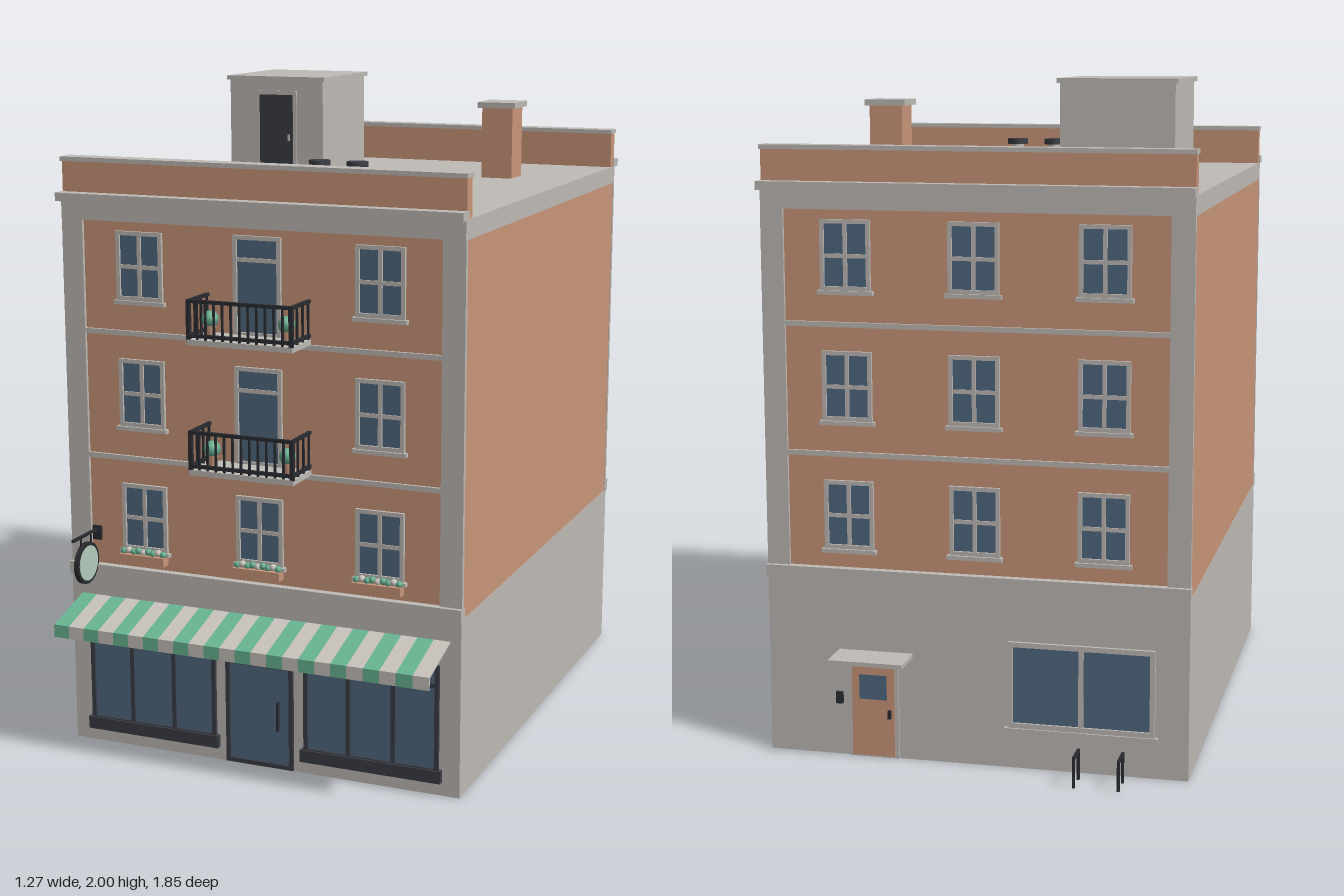
import * as THREE from 'three';

const mat = (name, color, side = THREE.FrontSide) => {
  const m = new THREE.MeshStandardMaterial({ color, side });
  m.name = name;
  return m;
};
const M = {
  stone: mat('stone', 0xbfbab5),
  brick: mat('brick', 0xc9967a),
  glass: mat('glass', 0x506880),
  dark: mat('dark frame', 0x3b3d45),
  iron: mat('iron', 0x292b30),
  green: mat('awning green', 0x68b492),
  cream: mat('awning cream', 0xc8c2bc),
  leaf: mat('leaf', 0x63ab8b),
  sign: mat('sign face', 0xb4cdbd),
};

function add(parent, name, geometry, material, x = 0, y = 0, z = 0) {
  const m = new THREE.Mesh(geometry, material);
  m.name = name;
  m.position.set(x, y, z);
  parent.add(m);
  return m;
}
// Box given by its limits on each axis
function box(parent, name, material, x0, x1, y0, y1, z0, z1) {
  return add(parent, name, new THREE.BoxGeometry(x1 - x0, y1 - y0, z1 - z0), material,
    (x0 + x1) / 2, (y0 + y1) / 2, (z0 + z1) / 2);
}
function group(parent, name, x = 0, y = 0, z = 0) {
  const g = new THREE.Group();
  g.name = name;
  g.position.set(x, y, z);
  parent.add(g);
  return g;
}

// Glazed panel: pane, border, vertical bars and horizontal bars
function glazing(parent, name, frame, x0, x1, y0, y1, z, t, xBars = [], yBars = []) {
  const g = group(parent, name);
  box(g, 'pane', M.glass, x0 + t / 2, x1 - t / 2, y0 + t / 2, y1 - t / 2, z - 0.004, z + 0.003);
  for (const x of [x0 + t / 2, x1 - t / 2]) box(g, 'jamb', frame, x - t / 2, x + t / 2, y0, y1, z, z + 0.01);
  for (const y of [y0 + t / 2, y1 - t / 2]) box(g, 'rail', frame, x0 + t, x1 - t, y - t / 2, y + t / 2, z, z + 0.01);
  for (const x of xBars) box(g, 'mullion', frame, x - t / 2, x + t / 2, y0 + t, y1 - t, z, z + 0.008);
  for (const y of yBars) box(g, 'transom', frame, x0 + t, x1 - t, y - t / 2, y + t / 2, z, z + 0.007);
  return g;
}
function sashWindow(parent, x, y) {
  const g = glazing(parent, 'window', M.stone, x - 0.075, x + 0.075, y, y + 0.205, 0.001, 0.012, [x], [y + 0.1]);
  box(g, 'sill', M.stone, x - 0.083, x + 0.083, y - 0.012, y, 0, 0.018);
}

// Trim shared by the front and back walls, wall plane at z = 0
function facade(parent, name) {
  const g = group(parent, name);
  for (const s of [-1, 1]) {
    const p = box(g, 'cornerPilaster', M.stone, -0.034, 0.034, 0.575, 1.63, -0.004, 0.01);
    p.position.x = s * 0.5995;
  }
  box(g, 'shopCornice', M.stone, -0.635, 0.635, 0.535, 0.575, -0.01, 0.024);
  for (const y of [0.908, 1.29]) box(g, 'stringCourse', M.stone, -0.566, 0.566, y, y + 0.015, -0.002, 0.009);
  box(g, 'roofCornice', M.stone, -0.635, 0.635, 1.685, 1.71, -0.01, 0.044);
  box(g, 'parapet', M.brick, -0.632, 0.632, 1.685, 1.802, -0.04, 0.002);
  box(g, 'parapetCap', M.stone, -0.635, 0.635, 1.8, 1.813, -0.049, 0.01);
  return g;
}

function balcony(parent, y) {
  const g = group(parent, 'balcony', 0, y, 0);
  glazing(g, 'balconyDoor', M.stone, -0.075, 0.075, 0.012, 0.305, 0.001, 0.012, [], [0.235]);
  box(g, 'balconySlab', M.stone, -0.165, 0.165, 0, 0.016, 0, 0.133);
  for (const yy of [0.022, 0.122]) {
    box(g, 'frontRail', M.iron, -0.165, 0.165, yy, yy + 0.01, 0.122, 0.132);
    for (const s of [-1, 1]) box(g, 'sideRail', M.iron, s * 0.16 - 0.005, s * 0.16 + 0.005, yy, yy + 0.01, 0, 0.122);
  }
  for (let i = 0; i <= 12; i++) {
    const x = -0.16 + i * 0.32 / 12, r = i % 12 ? 0.003 : 0.006;
    box(g, 'baluster', M.iron, x - r, x + r, 0.014, 0.128, 0.127 - r, 0.127 + r);
  }
  for (const s of [-1, 1]) {
    for (const z of [0.008, 0.047, 0.087])
      box(g, 'sideBaluster', M.iron, s * 0.16 - 0.003, s * 0.16 + 0.003, 0.016, 0.128, z - 0.003, z + 0.003);
    add(g, 'plantPot', new THREE.CylinderGeometry(0.018, 0.013, 0.035, 12), M.brick, s * 0.12, 0.033, 0.068);
    add(g, 'plant', new THREE.SphereGeometry(0.025, 12, 8), M.leaf, s * 0.12, 0.068, 0.068);
  }
}

function flowerBox(parent, x) {
  const g = group(parent, 'flowerBox', x, 0.595, 0);
  box(g, 'trough', M.brick, -0.075, 0.075, 0, 0.028, 0.004, 0.038);
  for (let i = 0; i < 9; i++)
    add(g, 'flower', new THREE.IcosahedronGeometry(0.011, 1), i % 3 === 1 ? M.cream : M.leaf,
      -0.066 + i * 0.0165, 0.034 + (i % 2) * 0.004, 0.021);
}

function awning(parent) {
  const g = group(parent, 'awning');
  const n = 24, w = 1.2 / n, drop = 0.05, reach = 0.175;
  for (let i = 0; i < n; i++) {
    const x = -0.6 + (i + 0.5) * w, m = i % 2 ? M.cream : M.green;
    const slope = add(g, 'awningStripe', new THREE.BoxGeometry(w, 0.005, Math.hypot(drop, reach)), m, x, 0.448, 0.098);
    slope.rotation.x = Math.atan2(drop, reach);
    box(g, 'valanceStripe', m, x - w / 2, x + w / 2, 0.387, 0.426, 0.182, 0.187);
  }
}

function hangingSign(parent) {
  const g = group(parent, 'hangingSign', -0.545, 0.595, 0.078);
  box(g, 'bracketArm', M.iron, -0.004, 0.004, 0.084, 0.092, -0.075, 0.078);
  box(g, 'wallPlate', M.iron, -0.014, 0.014, 0.055, 0.098, -0.076, -0.066);
  for (const z of [-0.03, 0.03]) box(g, 'hanger', M.iron, -0.002, 0.002, 0.05, 0.086, z - 0.002, z + 0.002);
  add(g, 'signRim', new THREE.CylinderGeometry(0.064, 0.064, 0.014, 32), M.iron).rotation.z = Math.PI / 2;
  add(g, 'signFace', new THREE.CylinderGeometry(0.054, 0.054, 0.018, 32), M.sign).rotation.z = Math.PI / 2;
}

export function createModel() {
  const root = new THREE.Group();
  root.name = 'shopBuilding';

  // Hollow ground floor, brick upper floors, roof slab
  for (const s of [-1, 1]) box(root, 'groundSideWall', M.stone, s * 0.628 - 0.005, s * 0.628 + 0.005, 0, 0.54, -0.8, 0.755);
  box(root, 'groundFrontWall', M.stone, -0.623, 0.623, 0, 0.54, 0.745, 0.755);
  box(root, 'groundBackWall', M.stone, -0.623, 0.623, 0, 0.54, -0.8, -0.79);
  box(root, 'groundCeiling', M.stone, -0.623, 0.623, 0.53, 0.54, -0.79, 0.745);
  box(root, 'upperWalls', M.brick, -0.632, 0.632, 0.54, 1.63, -0.79, 0.742);
  box(root, 'roofSlab', M.stone, -0.633, 0.633, 1.63, 1.687, -0.8, 0.754);

  // Front
  const front = facade(root, 'frontFacade');
  front.position.z = 0.742;
  for (const x of [-0.38, 0.38]) for (const y of [0.632, 1.015, 1.397]) sashWindow(front, x, y);
  sashWindow(front, 0, 0.632);
  for (const x of [-0.38, 0, 0.38]) flowerBox(front, x);
  for (const y of [0.92, 1.304]) balcony(front, y);
  awning(front);
  hangingSign(front);
  for (const s of [-1, 1]) {
    const c = s * 0.3575;
    glazing(front, 'shopWindow', M.dark, c - 0.213, c + 0.213, 0.07, 0.4, 0.015, 0.013, [c - 0.071, c + 0.071], [0.337]);
    box(front, 'stallRiser', M.dark, c - 0.222, c + 0.222, 0.042, 0.08, 0.01, 0.032);
  }
  glazing(front, 'shopDoor', M.dark, -0.11, 0.11, 0.005, 0.4, 0.015, 0.013, [], [0.325]);
  box(front, 'shopDoorHandle', M.iron, 0.058, 0.064, 0.125, 0.215, 0.018, 0.03);

  // Back
  const back = facade(root, 'backFacade');
  back.position.z = -0.79;
  back.rotation.y = Math.PI;
  for (const x of [-0.38, 0, 0.38]) for (const y of [0.632, 1.015, 1.397]) sashWindow(back, x, y);
  glazing(back, 'rearWindow', M.stone, 0.1, 0.535, 0.125, 0.385, 0.011, 0.015, [0.3175]);
  box(back, 'rearWindowSill', M.stone, 0.09, 0.545, 0.112, 0.125, 0.01, 0.026);
  box(back, 'rearDoorFrame', M.stone, -0.387, -0.233, 0, 0.29, 0.008, 0.016);
  box(back, 'rearDoor', M.brick, -0.375, -0.245, 0.005, 0.278, 0.01, 0.02);
  box(back, 'rearDoorPane', M.glass, -0.352, -0.268, 0.18, 0.255, 0.016, 0.022);
  box(back, 'rearDoorHandle', M.iron, -0.263, -0.254, 0.125, 0.15, 0.018, 0.032);
  box(back, 'rearCanopy', M.stone, -0.415, -0.19, 0.313, 0.326, 0.008, 0.125);
  box(back, 'entryPanel', M.iron, -0.425, -0.405, 0.16, 0.195, 0.008, 0.022);
  for (const x of [0.32, 0.45]) {
    const rack = group(back, 'bikeRack', x, 0, 0);
    for (const z of [0.063, 0.131]) box(rack, 'rackLeg', M.iron, -0.004, 0.004, 0, 0.092, z - 0.004, z + 0.004);
    box(rack, 'rackBar', M.iron, -0.004, 0.004, 0.084, 0.092, 0.067, 0.127);
  }

  // Roof stair house
  const hut = group(root, 'stairHouse');
  box(hut, 'hutWalls', M.stone, -0.538, -0.203, 1.68, 1.988, -0.575, -0.212);
  box(hut, 'hutRoof', M.stone, -0.547, -0.194, 1.986, 2, -0.585, -0.204);
  box(hut, 'hutDoorFrame', M.stone, -0.441, -0.296, 1.687, 1.953, -0.215, -0.207);
  box(hut, 'hutDoor', M.dark, -0.428, -0.309, 1.687, 1.94, -0.21, -0.204);
  box(hut, 'hutDoorHandle', M.stone, -0.325, -0.318, 1.79, 1.81, -0.206, -0.199);

  // Chimney and vents
  box(root, 'chimney', M.brick, 0.328, 0.43, 1.68, 1.915, -0.382, -0.278);
  box(root, 'chimneyCap', M.stone, 0.316, 0.442, 1.912, 1.93, -0.395, -0.267);
  for (const x of [0, 0.125]) {
    add(root, 'ventPipe', new THREE.CylinderGeometry(0.02, 0.02, 0.085, 20), M.stone, x, 1.727, 0.29);
    add(root, 'ventCap', new THREE.CylinderGeometry(0.033, 0.033, 0.018, 20), M.dark, x, 1.775, 0.29);
  }
  return root;
}
